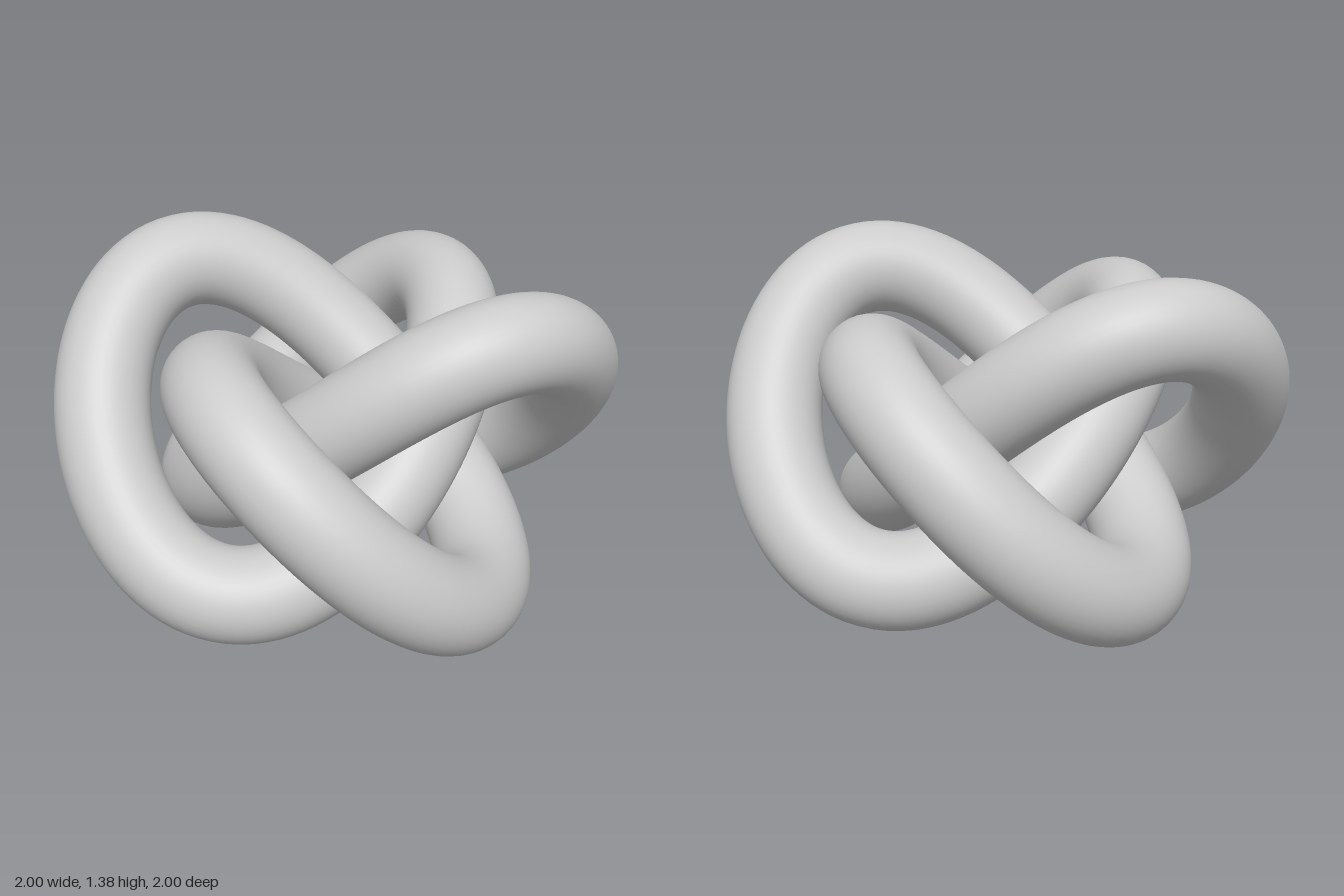
import * as THREE from 'three';

// Closed four-lobed knot: two counter-rotating circles, with a weaving height
class KnotCurve extends THREE.Curve {
  getPoint(u, target = new THREE.Vector3()) {
    const { sin, cos, PI } = Math;
    const t = u * PI * 2;
    const q = PI / 4;
    const inner = 0.28, outer = 0.662;
    const x = inner * cos(q + t) + outer * cos(q - 3 * t);
    const z = inner * sin(q + t) + outer * sin(q - 3 * t);
    // over-under weave, with one pair of crests higher than the other
    const y = 0.6375 - 0.449 * sin(4 * t)
      + 0.074 * cos(2 * t) - 0.0314 * sin(2 * t)
      + 0.019 * cos(6 * t) - 0.0265 * sin(6 * t)
      - 0.006 * cos(8 * t) + 0.0025 * sin(8 * t)
      + 0.0065 * sin(10 * t);
    return target.set(x, y, z);
  }
}

export function createModel() {
  const group = new THREE.Group();
  group.name = 'knot';

  // Smooth round tube along the knot
  const geometry = new THREE.TubeGeometry(new KnotCurve(), 400, 0.192, 40, true);
  const tube = new THREE.Mesh(geometry, new THREE.MeshStandardMaterial({ color: 0xcccccc }));
  tube.name = 'knotTube';

  // Rest it exactly on the ground
  geometry.computeBoundingBox();
  tube.position.y = -geometry.boundingBox.min.y;
  group.add(tube);
  return group;
}
